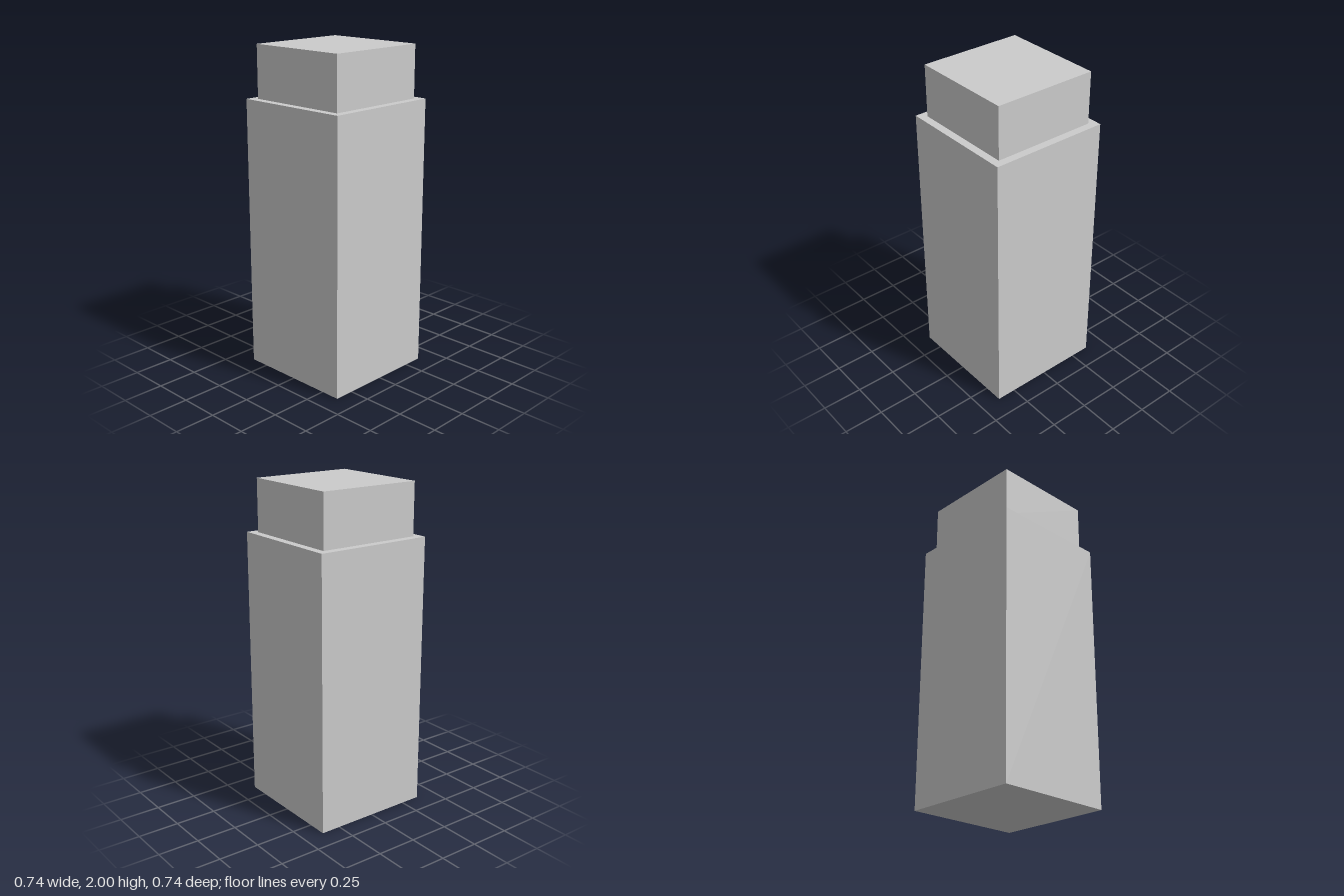
import * as THREE from 'three';

const material = new THREE.MeshStandardMaterial({ color: 0xcccccc });

// Square block standing on a given height
function block(name, width, height, bottom) {
  const mesh = new THREE.Mesh(new THREE.BoxGeometry(width, height, width), material);
  mesh.name = name;
  mesh.position.y = bottom + height / 2;
  return mesh;
}

export function createModel() {
  const bodyHeight = 1.68;
  const model = new THREE.Group();
  model.name = 'steppedBlock';
  model.add(
    block('body', 0.744, bodyHeight, 0), // tall lower body
    block('cap', 0.648, 2 - bodyHeight, bodyHeight) // narrower block on top
  );
  return model;
}
